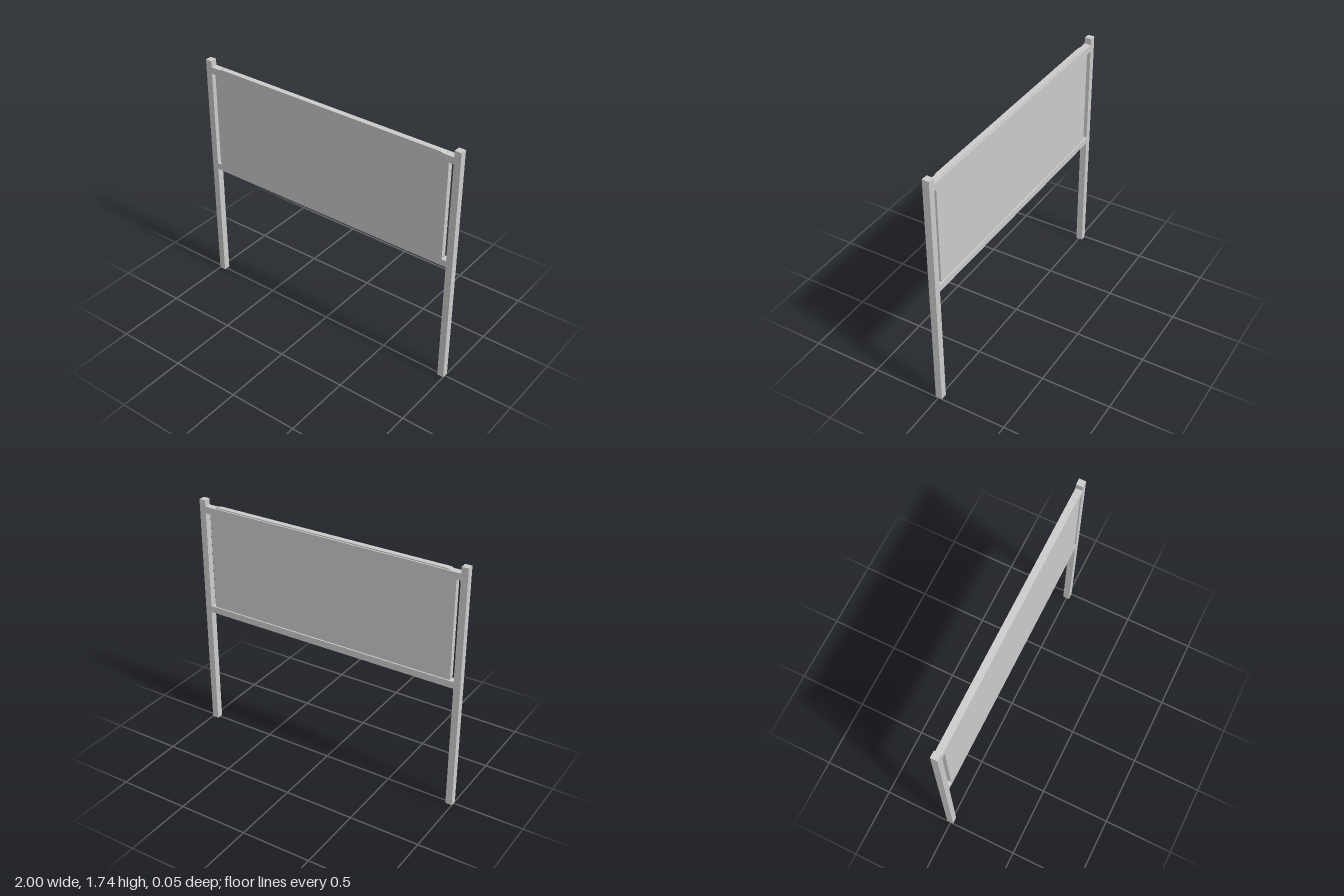
import * as THREE from 'three';

const material = new THREE.MeshStandardMaterial({ color: 0xcccccc, flatShading: true });

function box(name, x0, x1, y0, y1, z0, z1) {
  const mesh = new THREE.Mesh(new THREE.BoxGeometry(x1 - x0, y1 - y0, z1 - z0), material);
  mesh.position.set((x0 + x1) / 2, (y0 + y1) / 2, (z0 + z1) / 2);
  mesh.name = name;
  return mesh;
}

function roundedRect(w, y0, y1, r) {
  const s = new THREE.Shape();
  s.moveTo(-w + r, y0);
  s.lineTo(w - r, y0);
  s.absarc(w - r, y0 + r, r, -Math.PI / 2, 0);
  s.lineTo(w, y1 - r);
  s.absarc(w - r, y1 - r, r, 0, Math.PI / 2);
  s.lineTo(-w + r, y1);
  s.absarc(-w + r, y1 - r, r, Math.PI / 2, Math.PI);
  s.lineTo(-w, y0 + r);
  s.absarc(-w + r, y0 + r, r, Math.PI, Math.PI * 1.5);
  return s;
}

export function createModel() {
  const group = new THREE.Group();
  group.name = 'signBoard';
  const back = -0.027, front = 0.021, inner = 0.953;

  // square posts
  group.add(box('leftPost', inner, 1, 0, 1.743, back, front));
  group.add(box('rightPost', -1, -inner, 0, 1.743, back, front));

  // horizontal rails between the posts, as deep as the posts
  group.add(box('lowerRail', -inner, inner, 0.898, 0.946, back, front));
  group.add(box('upperRail', -inner, inner, 1.65, 1.698, back, front));

  // thick board with rounded corners, flush in front and set in a little at the back
  const boardBack = back + 0.01, boardFront = front + 0.0005;
  const board = new THREE.Mesh(
    new THREE.ExtrudeGeometry(roundedRect(0.921, 0.898, 1.705, 0.07), {
      depth: boardFront - boardBack, bevelEnabled: false, curveSegments: 8,
    }), material);
  board.position.z = boardBack;
  board.name = 'board';
  group.add(board);
  return group;
}
